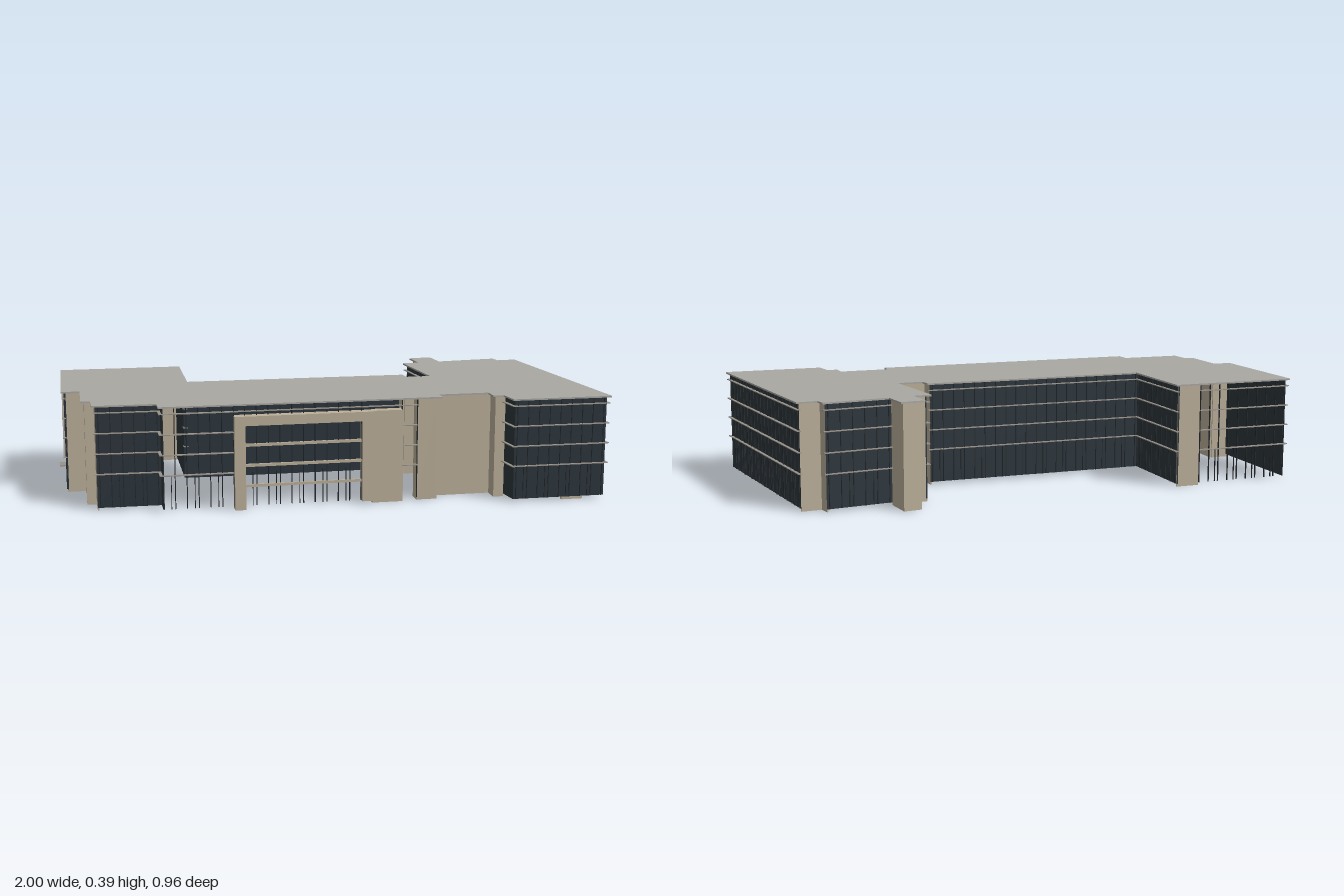
import * as THREE from 'three';

const mat = (name, color) => {
  const m = new THREE.MeshStandardMaterial({ color });
  m.name = name;
  return m;
};

export function createModel() {
  const glass = mat('dark glass', 0x2c353c);
  const stone = mat('beige stone', 0xbcb09a);
  const roofGrey = mat('roof grey', 0xaaa8a3);
  const metal = mat('dark metal', 0x23282d);
  const ledge = mat('ledge grey', 0x98938a);

  const model = new THREE.Group();
  model.name = 'officeBuilding';
  const TOP = 0.383, INSET = 0.013;

  // Box given by its two corners
  const box = (parent, name, m, x0, x1, y0, y1, z0, z1) => {
    const mesh = new THREE.Mesh(new THREE.BoxGeometry(x1 - x0, y1 - y0, z1 - z0), m);
    mesh.position.set((x0 + x1) / 2, (y0 + y1) / 2, (z0 + z1) / 2);
    mesh.name = name;
    parent.add(mesh);
  };

  // Roof outline (x, z) and the kind of wall that follows each corner:
  // g = glass, s = stone, o = open mullion grid, f = open front with portal
  const plan = [
    [-0.98, -0.47, 'o'], [-0.50, -0.465, 'g'], [-0.505, -0.11, 'g'], [0.35, -0.1, 's'],
    [0.355, -0.05, 's'], [0.45, -0.05, 'g'], [0.42, -0.36, 's'], [0.488, -0.365, 's'],
    [0.478, -0.475, 's'], [0.57, -0.485, 's'], [0.58, -0.375, 'g'], [0.823, -0.4, 's'],
    [0.83, -0.355, 's'], [0.905, -0.36, 'g'], [0.997, 0.478, 'g'], [0.62, 0.473, 'g'],
    [0.61, 0.39, 's'], [0.57, 0.39, 's'], [0.57, 0.33, 's'], [0.38, 0.33, 's'],
    [0.38, 0.375, 'f'], [-0.66, 0.368, 'g'], [-0.66, 0.305, 'g'], [-0.89, 0.3, 's'],
    [-0.89, 0.21, 's'], [-0.925, 0.21, 's'], [-0.92, 0.01, 's'], [-0.99, 0.01, 'g'],
  ];
  const n = plan.length;
  const pts = plan.map(([x, z]) => new THREE.Vector2(x, z));

  // Roof slab
  const roofGeo = new THREE.ExtrudeGeometry(new THREE.Shape(pts), { depth: 0.006, bevelEnabled: false });
  roofGeo.rotateX(Math.PI / 2).translate(0, 0.388, 0);
  const roof = new THREE.Mesh(roofGeo, roofGrey);
  roof.name = 'roof';
  model.add(roof);

  // Wall corners: the roof outline moved inward with mitred corners
  const outward = (a, b) => new THREE.Vector2(b.y - a.y, a.x - b.x).normalize();
  const corners = pts.map((p, i) => {
    const n0 = outward(pts[(i + n - 1) % n], p), n1 = outward(p, pts[(i + 1) % n]);
    const miter = n0.clone().add(n1);
    return p.clone().addScaledVector(miter, -INSET / (1 + n0.dot(n1)));
  });

  // Thin projecting ledges at each floor
  const ledges = (g, x0, x1) => {
    for (const y of [0.135, 0.21, 0.285, 0.36])
      box(g, 'floorLedge', ledge, x0, x1, y - 0.0015, y + 0.0015, -0.011, 0.004);
  };

  // Vertical bars, denser on the ground floor
  const mullions = (g, x0, x1, yFrom) => {
    const count = Math.max(1, Math.round((x1 - x0) / 0.042));
    for (let i = 0; i <= count; i++) {
      const x = x0 + ((x1 - x0) * i) / count;
      box(g, 'mullion', metal, x - 0.0015, x + 0.0015, yFrom, TOP, -0.003, 0.002);
      if (i < count && i % 2) {
        const xm = x + (x1 - x0) / count / 3;
        box(g, 'groundMullion', metal, xm - 0.001, xm + 0.001, yFrom, 0.135, -0.003, 0.002);
      }
    }
  };

  // Walls, each built along its local x axis with -z outward
  corners.forEach((a, i) => {
    const b = corners[(i + 1) % n], kind = plan[i][2];
    const len = a.distanceTo(b);
    const g = new THREE.Group();
    g.name = { g: 'glassWall', s: 'stoneWall', o: 'openBackWall', f: 'openFrontWall' }[kind];
    g.position.set(a.x, 0, a.y);
    g.rotation.y = -Math.atan2(b.y - a.y, b.x - a.x);
    model.add(g);
    if (kind === 's') box(g, 'stonePanel', stone, 0, len, 0, TOP, 0, 0.005);
    if (kind === 'g') {
      box(g, 'glassPanel', glass, 0, len, 0.01, TOP, 0, 0.005);
      ledges(g, -0.008, len + 0.008);
      if (len > 0.1) mullions(g, 0.01, len - 0.01, 0.01);
    }
    if (kind === 'o') {
      box(g, 'stonePier', stone, len - 0.09, len, 0, TOP, 0, 0.005);
      ledges(g, -0.008, len - 0.09);
      mullions(g, 0.002, len - 0.092, 0.01);
    }
    if (kind === 'f') {
      const at = (x) => a.x - x;
      box(g, 'stonePier', stone, 0, at(0.29), 0, TOP, 0, 0.005);
      for (const [l, r] of [[at(0.29), at(0.23)], [at(-0.39), len]]) {
        ledges(g, l, r);
        mullions(g, l, r - 0.002, 0.01);
      }
      mullions(g, at(0.08), at(-0.35), 0.01);
      // Upper grid over the portal
      box(g, 'upperRail', ledge, at(0.23), at(-0.39), 0.3585, 0.3615, -0.008, 0.004);
    }
  });

  // Return of the front stone pier
  box(model, 'pierReturn', stone, 0.29, 0.295, 0, TOP, 0.31, 0.36);

  // Entrance portal frame
  const portal = new THREE.Group();
  portal.name = 'entrancePortal';
  model.add(portal);
  box(portal, 'portalLeg', stone, -0.39, -0.35, 0, 0.345, 0.345, 0.383);
  box(portal, 'portalLeg', stone, 0.08, 0.12, 0.01, 0.345, 0.345, 0.383);
  box(portal, 'portalPier', stone, 0.12, 0.235, 0, 0.345, 0.335, 0.372);
  box(portal, 'portalBeam', stone, -0.35, 0.08, 0.31, 0.345, 0.345, 0.383);
  for (const y of [0.085, 0.16, 0.235])
    box(portal, 'portalBand', stone, -0.35, 0.08, y - 0.005, y + 0.005, 0.355, 0.364);

  // Side door canopy and front doorstep
  box(model, 'sideCanopy', ledge, -1.0, -0.97, 0.053, 0.057, -0.255, -0.2);
  box(model, 'doorstep', stone, 0.82, 0.9, 0, 0.01, 0.45, 0.464);

  return model;
}
